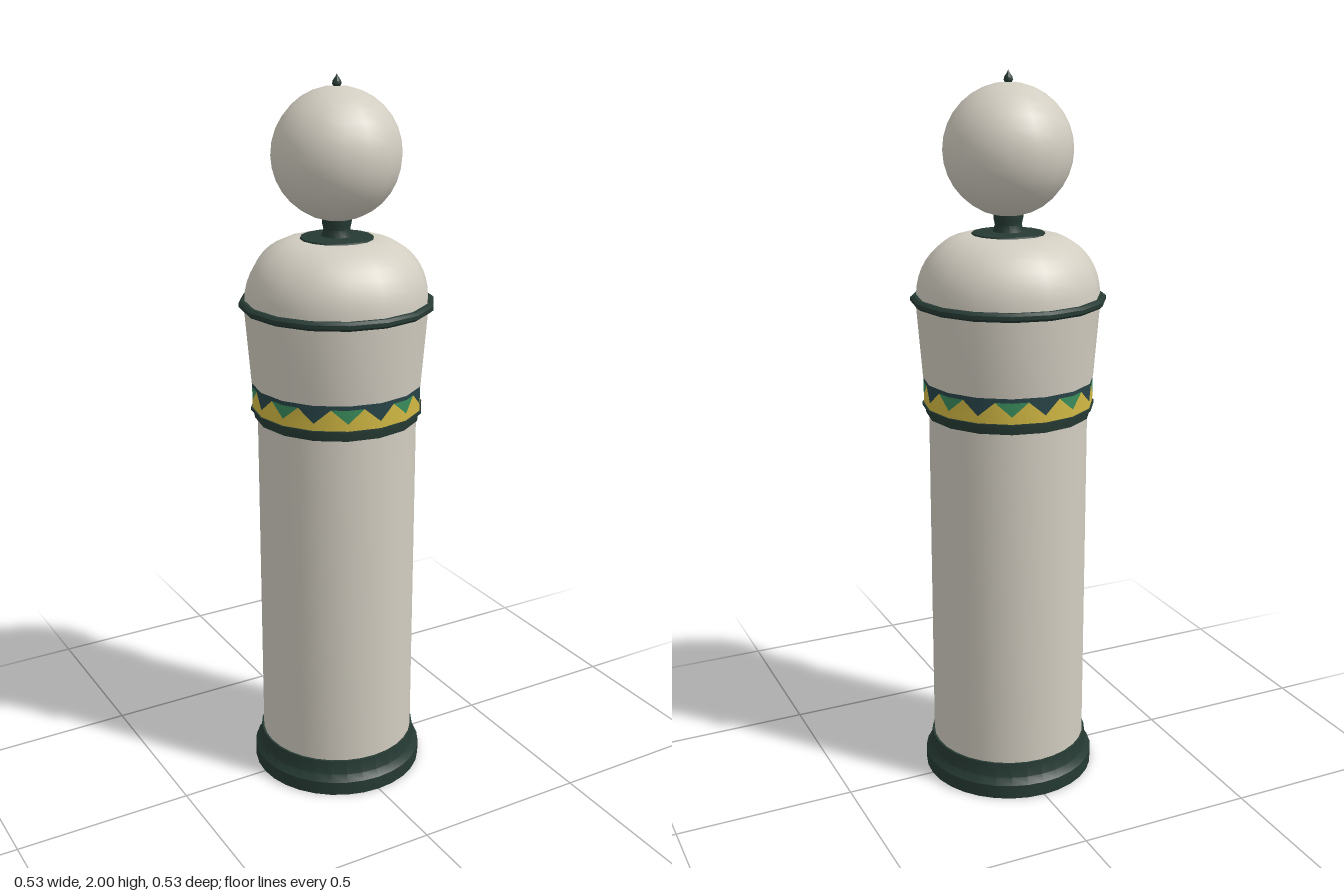
import * as THREE from 'three';
import { toCreasedNormals } from 'three/addons/utils/BufferGeometryUtils.js';

const SIDES = 16;
const mat = (name, color) => new THREE.MeshStandardMaterial({ name, color });

export function createModel() {
  const model = new THREE.Group();
  model.name = 'pillar';
  const stone = mat('warm stone', 0xd2cdc1);
  const green = mat('dark green', 0x263a33);
  const yellow = mat('band yellow', 0xd2b944);
  const leaf = mat('band green', 0x3a8c5c);
  const slate = mat('band slate', 0x284448);

  function add(name, geometry, material) {
    const mesh = new THREE.Mesh(geometry, material);
    mesh.name = name;
    model.add(mesh);
    return mesh;
  }
  // Turned part from [radius, height] pairs, bottom to top
  function turned(name, profile, material, sides = SIDES) {
    const points = profile.map(([r, y]) => new THREE.Vector2(r, y));
    return add(name, toCreasedNormals(new THREE.LatheGeometry(points, sides), 0.6), material);
  }

  // Plinth and shaft
  turned('base', [[0, 0], [0.245, 0], [0.245, 0.04], [0.23, 0.058], [0.226, 0.1], [0, 0.1]], green, 32);
  turned('shaft', [[0.22, 0.1], [0.22, 1.09]], stone, 32);

  // Moulding below the patterned band
  turned('lowerRing', [[0.215, 1.08], [0.228, 1.08], [0.23, 1.1], [0.238, 1.102], [0.238, 1.11], [0.215, 1.112]], green);

  // Patterned band: yellow zigzag with alternating green and slate gaps
  const R = 0.234, low = 1.11, foot = 1.13, peak = 1.168, top = 1.182;
  const cells = { yellow: [], leaf: [], slate: [] };
  const corner = (i) => {
    const a = (i * Math.PI * 2) / SIDES;
    return new THREE.Vector3(Math.sin(a) * R, 0, Math.cos(a) * R);
  };
  const at = (p, y) => [p.x, y, p.z];
  const quad = (list, a, b, y0, y1) => list.push(
    ...at(a, y0), ...at(b, y0), ...at(b, y1), ...at(a, y0), ...at(b, y1), ...at(a, y1));
  for (let i = 0; i < SIDES; i++) {
    const a = corner(i), b = corner(i + 1), m = a.clone().lerp(b, 0.5);
    const [left, right] = i % 2 ? [cells.leaf, cells.slate] : [cells.slate, cells.leaf];
    quad(cells.yellow, a, b, low, foot);
    cells.yellow.push(...at(a, foot), ...at(b, foot), ...at(m, peak));
    left.push(...at(a, foot), ...at(m, peak), ...at(a, peak));
    right.push(...at(b, foot), ...at(b, peak), ...at(m, peak));
    quad(cells.slate, a, b, peak, top);
  }
  const bandPart = (name, list, material) => {
    const g = new THREE.BufferGeometry();
    g.setAttribute('position', new THREE.Float32BufferAttribute(list, 3));
    // Radial normals keep the band smoothly rounded
    const normals = [];
    for (let i = 0; i < list.length; i += 3) {
      const d = Math.hypot(list[i], list[i + 2]);
      normals.push(list[i] / d, 0, list[i + 2] / d);
    }
    g.setAttribute('normal', new THREE.Float32BufferAttribute(normals, 3));
    add(name, g, material);
  };
  bandPart('bandZigzag', cells.yellow, yellow);
  bandPart('bandLeaves', cells.leaf, leaf);
  bandPart('bandGround', cells.slate, slate);

  // Flared drum and its rim
  turned('drum', [[0.21, 1.18], [0.235, 1.18], [0.252, 1.395]], stone);
  turned('rim', [[0.24, 1.388], [0.258, 1.388], [0.266, 1.395], [0.266, 1.405], [0.258, 1.412], [0.24, 1.412]], green);

  // Domed cap: quarter ellipse easing into a flat top
  const dome = [];
  for (let i = 0; i <= 10; i++) {
    const t = (i / 10) * Math.PI / 2;
    dome.push([0.1 + 0.15 * Math.cos(t), 1.41 + 0.165 * Math.sin(t)]);
  }
  turned('dome', [...dome, [0, 1.576]], stone);

  // Neck with spreading foot
  turned('neck', [[0.1, 1.574], [0.098, 1.579], [0.042, 1.582], [0.036, 1.6], [0.04, 1.618], [0.04, 1.63], [0, 1.63]], green);

  // Globe and pointed finial
  const globe = add('globe', new THREE.SphereGeometry(0.174, SIDES, 16), stone);
  globe.position.y = 1.796;
  turned('finial', [[0.006, 1.962], [0.012, 1.974], [0.011, 1.982], [0.004, 1.992], [0, 2]], green, 12);

  return model;
}
